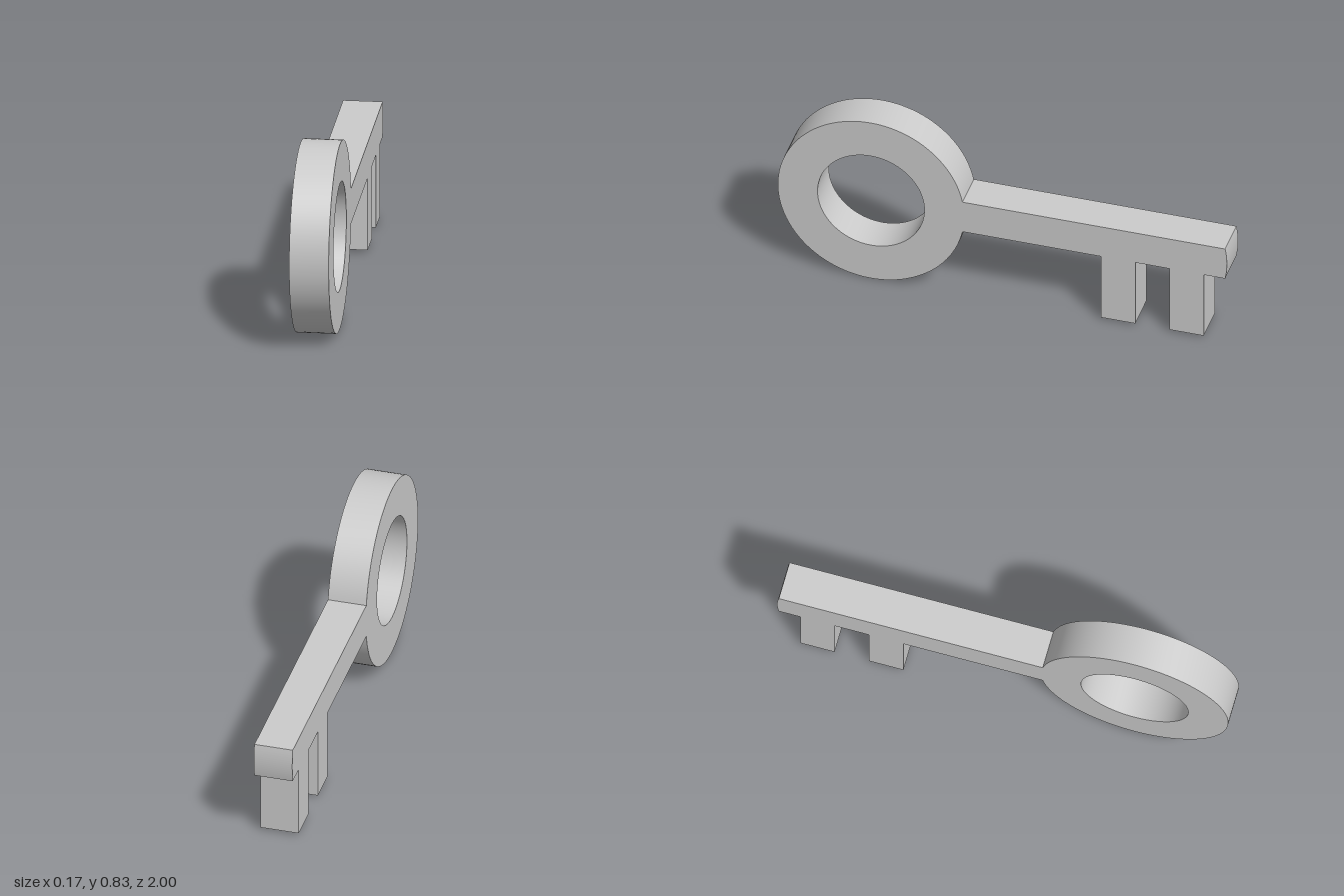
import * as THREE from 'three';
import { toCreasedNormals } from 'three/addons/utils/BufferGeometryUtils.js';

const THICKNESS = 0.17;
const CY = 0.415;                 // height of the key's axis
const BOW = { s: -0.585, outer: 0.415, inner: 0.238 };
const SHAFT = { half: 0.079, end: 0.992 };
const TEETH = [[0.44, 0.592], [0.745, 0.897]];
const TOOTH_BOTTOM = 0.01;

// Key outline: s runs from the bow to the tip, y is up
function keyShape() {
  const top = CY + SHAFT.half, bottom = CY - SHAFT.half;
  const a = Math.asin(SHAFT.half / BOW.outer);
  const shape = new THREE.Shape();

  // ring-shaped bow, open where the shaft joins
  shape.absarc(BOW.s, CY, BOW.outer, a, 2 * Math.PI - a, false);

  // underside of the shaft with its teeth
  for (const [s0, s1] of TEETH) {
    shape.lineTo(s0, bottom);
    shape.lineTo(s0, TOOTH_BOTTOM);
    shape.lineTo(s1, TOOTH_BOTTOM);
    shape.lineTo(s1, bottom);
  }

  // slightly bulging tip, then back along the top
  shape.lineTo(SHAFT.end, bottom);
  shape.quadraticCurveTo(2 - SHAFT.end + 0.0, CY, SHAFT.end, top);
  shape.closePath();

  const hole = new THREE.Path();
  hole.absarc(BOW.s, CY, BOW.inner, 0, 2 * Math.PI, true);
  shape.holes.push(hole);
  return shape;
}

export function createModel() {
  const group = new THREE.Group();
  group.name = 'key';

  const geometry = new THREE.ExtrudeGeometry(keyShape(), {
    depth: THICKNESS, bevelEnabled: false, curveSegments: 48,
  });
  geometry.translate(0, 0, -THICKNESS / 2);
  geometry.rotateY(Math.PI / 2);  // bow to the front (+z)

  const body = new THREE.Mesh(
    toCreasedNormals(geometry, 0.5),
    new THREE.MeshStandardMaterial({ color: 0xcccccc }),
  );
  body.name = 'keyBody';
  group.add(body);
  return group;
}
